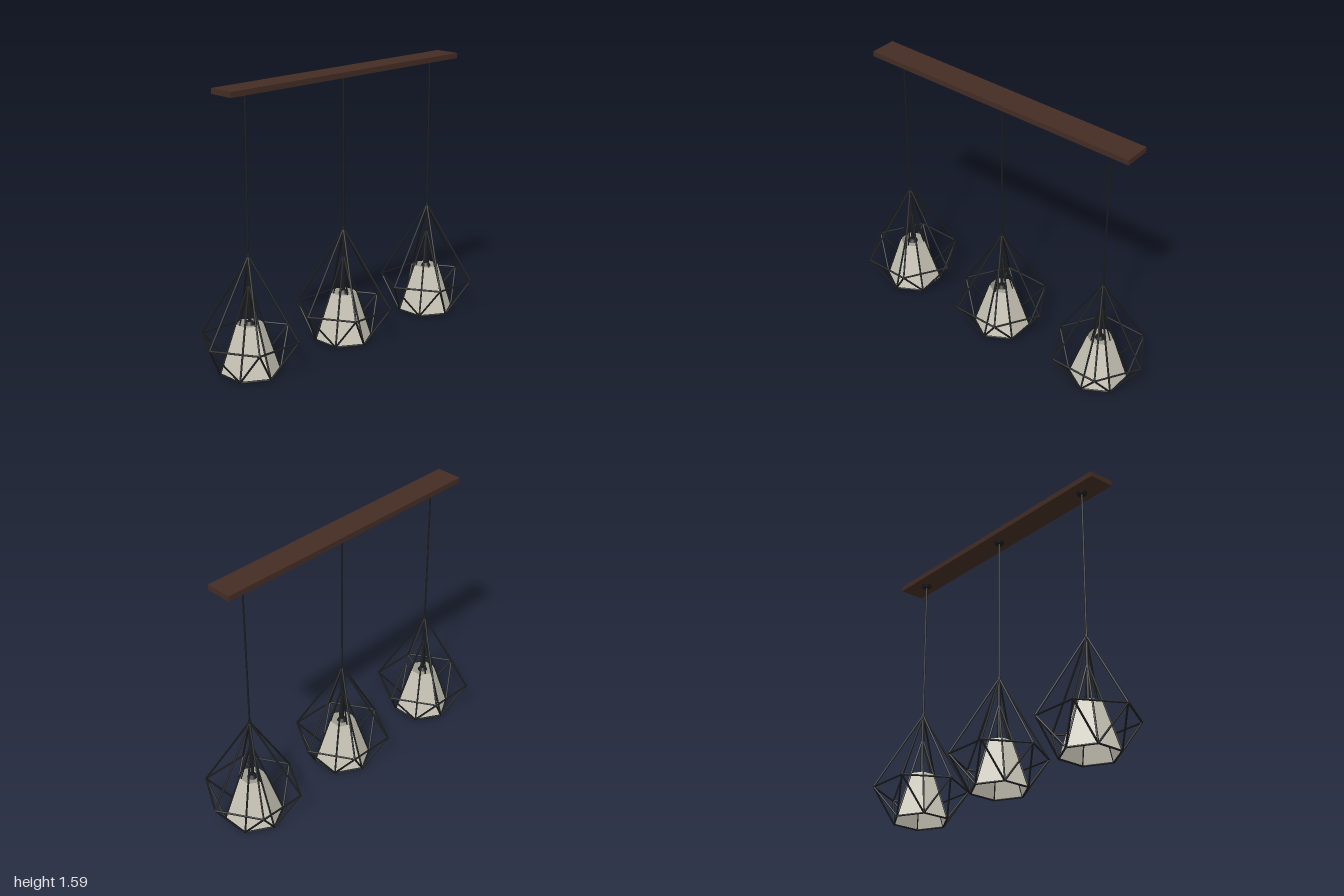
import * as THREE from 'three';

const metal = new THREE.MeshStandardMaterial({ color: 0x1a1b1c });
metal.name = 'black metal';
const wood = new THREE.MeshStandardMaterial({ color: 0x432c23 });
wood.name = 'dark wood';
const fabric = new THREE.MeshStandardMaterial({ color: 0xcac6b8, side: THREE.DoubleSide, flatShading: true });
fabric.name = 'pale shade';

const UP = new THREE.Vector3(0, 1, 0);

function add(parent, name, geometry, material, x = 0, y = 0, z = 0) {
  const mesh = new THREE.Mesh(geometry, material);
  mesh.name = name;
  mesh.position.set(x, y, z);
  parent.add(mesh);
  return mesh;
}

// Straight round bar between two points
function bar(parent, name, a, b, r = 0.0055) {
  const dir = b.clone().sub(a);
  const mesh = add(parent, name, new THREE.CylinderGeometry(r, r, dir.length(), 8), metal);
  mesh.position.copy(a).add(b).multiplyScalar(0.5);
  mesh.quaternion.setFromUnitVectors(UP, dir.normalize());
}

// Six points of a level hexagon
function hexagon(radius, y, turn) {
  return Array.from({ length: 6 }, (_, i) => {
    const a = turn + (i * Math.PI) / 3;
    return new THREE.Vector3(Math.cos(a) * radius, y, Math.sin(a) * radius);
  });
}

function createPendant() {
  const pendant = new THREE.Group();
  pendant.name = 'pendant';

  // Wire cage: wide ring, smaller turned base ring, and two apexes
  const cage = new THREE.Group();
  cage.name = 'cage';
  pendant.add(cage);
  const wide = hexagon(0.281, 0.205, 0);
  const base = hexagon(0.168, 0.008, Math.PI / 6);
  const top = new THREE.Vector3(0, 0.675, 0);
  const innerTop = new THREE.Vector3(0, 0.52, 0);
  for (let i = 0; i < 6; i++) {
    const j = (i + 1) % 6;
    bar(cage, 'wideRingBar', wide[i], wide[j]);
    bar(cage, 'baseRingBar', base[i], base[j]);
    bar(cage, 'upperBar', top, wide[i]);
    bar(cage, 'innerBar', innerTop, base[i]);
    bar(cage, 'lowerBar', base[i], wide[i]);
    bar(cage, 'lowerBar', base[i], wide[j]);
  }

  // Open six-sided shade, corners in line with the base ring
  add(pendant, 'shade', new THREE.CylinderGeometry(0.076, 0.165, 0.28, 6, 1, true), fabric, 0, 0.15, 0);

  // Cord, stem, collar and lamp holder
  add(pendant, 'cord', new THREE.CylinderGeometry(0.005, 0.005, 0.9, 8), metal, 0, 1.11, 0);
  add(pendant, 'stem', new THREE.CylinderGeometry(0.01, 0.01, 0.38, 10), metal, 0, 0.48, 0);
  add(pendant, 'collar', new THREE.CylinderGeometry(0.007, 0.012, 0.035, 10), metal, 0, 0.67, 0);
  add(pendant, 'lampHolder', new THREE.CylinderGeometry(0.018, 0.03, 0.02, 16), metal, 0, 0.293, 0);

  // Small ceiling cup under the board
  add(pendant, 'cordCup', new THREE.CylinderGeometry(0.032, 0.025, 0.017, 20), metal, 0, 1.558, 0);
  return pendant;
}

export function createModel() {
  const model = new THREE.Group();
  model.name = 'pendantLight';

  add(model, 'board', new THREE.BoxGeometry(1.745, 0.031, 0.156), wood, 0, 1.58, 0);
  for (const x of [-0.715, 0, 0.715]) {
    const pendant = createPendant();
    pendant.position.x = x;
    model.add(pendant);
  }
  return model;
}
